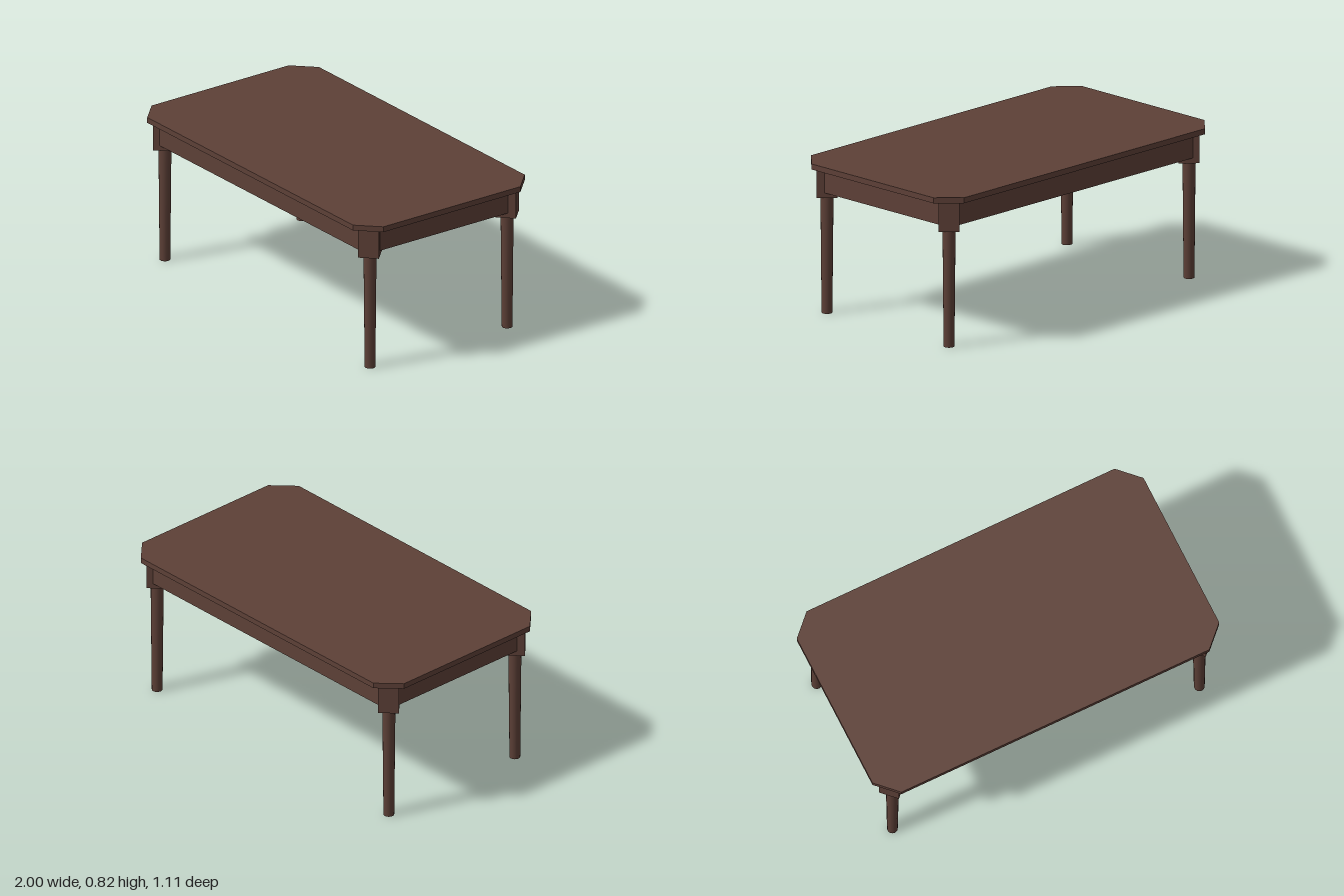
import * as THREE from 'three';

export function createModel() {
  const table = new THREE.Group();
  table.name = 'table';
  const wood = new THREE.MeshStandardMaterial({ color: 0x5d4037 });
  wood.name = 'darkBrownWood';

  const add = (name, geometry, x, y, z) => {
    const mesh = new THREE.Mesh(geometry, wood);
    mesh.name = name;
    mesh.position.set(x, y, z);
    table.add(mesh);
    return mesh;
  };

  // Table top: a thin board with clipped corners
  const W = 1, D = 0.555, C = 0.112;
  const outline = new THREE.Shape([
    [W, D - C], [W - C, D], [C - W, D], [-W, D - C],
    [-W, C - D], [C - W, -D], [W - C, -D], [W, C - D],
  ].map(([x, y]) => new THREE.Vector2(x, y)));
  const board = new THREE.ExtrudeGeometry(outline, { depth: 0.03, bevelEnabled: false });
  board.rotateX(-Math.PI / 2);
  add('tableTop', board, 0, 0.795, 0);

  // Aprons, long and short, ending inside the corner blocks
  const legX = 0.885, legZ = 0.443, apronHeight = 0.135, apronY = 0.7275, thick = 0.03;
  const longApron = new THREE.BoxGeometry(legX * 2, apronHeight, thick);
  const shortApron = new THREE.BoxGeometry(thick, apronHeight, legZ * 2);
  // Corner blocks are square and turned to face the corners
  const block = new THREE.BoxGeometry(0.108, 0.163, 0.108);
  block.rotateY(Math.PI / 4);
  // Round tapered leg, softly shaded into its foot
  const legProfile = [[0, 0], [0.028, 0], [0.034, 0.635]].map(([r, y]) => new THREE.Vector2(r, y));
  const leg = new THREE.LatheGeometry(legProfile, 16);

  for (const s of [1, -1]) {
    add(s > 0 ? 'frontApron' : 'backApron', longApron, 0, apronY, s * (0.495 - thick / 2));
    add(s > 0 ? 'leftApron' : 'rightApron', shortApron, s * (0.932 - thick / 2), apronY, 0);
    for (const t of [1, -1]) {
      const corner = (t > 0 ? 'front' : 'back') + (s > 0 ? 'Left' : 'Right');
      add(corner + 'CornerBlock', block, s * legX, 0.7135, t * legZ);
      add(corner + 'Leg', leg, s * legX, 0, t * legZ);
    }
  }
  return table;
}
